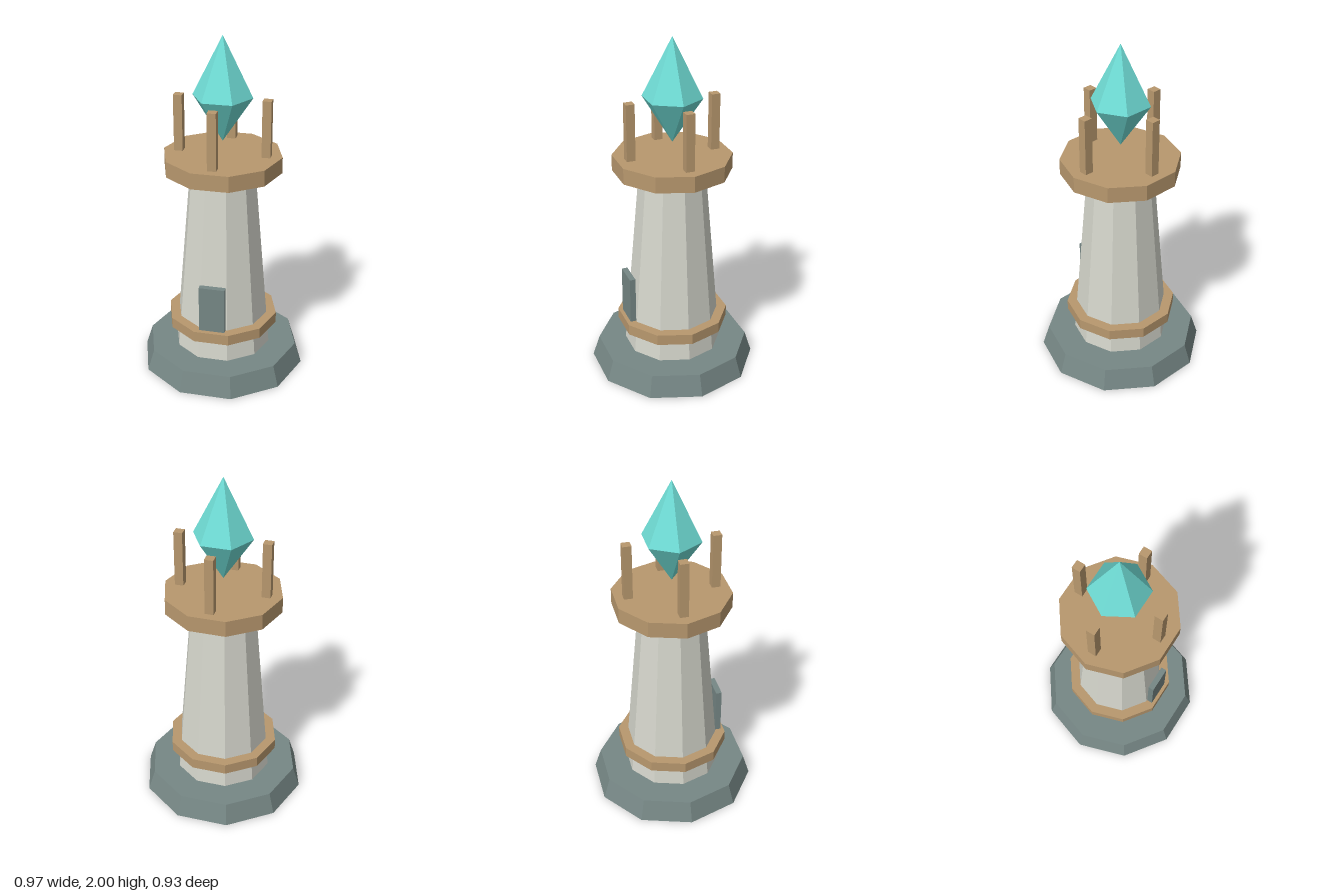
import * as THREE from 'three';

export function createModel() {
  const group = new THREE.Group();
  group.name = 'crystalTower';

  const material = (name, color) => {
    const m = new THREE.MeshStandardMaterial({ color, flatShading: true });
    m.name = name;
    return m;
  };
  const stone = material('pale stone', 0xd6d7cd);
  const slate = material('slate', 0x768785);
  const wood = material('wood', 0xb8986e);
  const crystalTeal = material('crystal teal', 0x6fdcd5);

  const add = (name, geometry, mat, x = 0, y = 0, z = 0) => {
    const mesh = new THREE.Mesh(geometry, mat);
    mesh.name = name;
    mesh.position.set(x, y, z);
    group.add(mesh);
    return mesh;
  };

  // Faceted drum between two heights, with corners on the x axis
  const drum = (name, rBottom, rTop, y0, y1, mat, sides = 10, open = false) => {
    const g = new THREE.CylinderGeometry(rTop, rBottom, y1 - y0, sides, 1, open);
    g.rotateY(Math.PI / 2);
    return add(name, g, mat, 0, (y0 + y1) / 2, 0);
  };

  drum('base', 0.487, 0.447, 0, 0.125, slate);
  drum('towerShaft', 0.285, 0.189, 0.125, 1.235, stone);
  drum('lowerBand', 0.326, 0.326, 0.26, 0.324, wood);
  drum('platform', 0.34, 0.34, 1.235, 1.328, wood);

  // Door slab on the front
  add('door', new THREE.BoxGeometry(0.15, 0.28, 0.034), slate, 0, 0.468, 0.273);

  // Four posts around the crystal
  const postGeometry = new THREE.BoxGeometry(0.05, 0.327, 0.05);
  for (const [x, z] of [[1, 0], [-1, 0], [0, 1], [0, -1]]) {
    add('post', postGeometry, wood, x * 0.25, 1.4915, z * 0.25);
  }

  // Six-sided crystal made of two points joined at the waist
  drum('crystalTop', 0.17, 0, 1.66, 2, crystalTeal, 6, true);
  drum('crystalBottom', 0, 0.17, 1.4, 1.66, crystalTeal, 6, true);

  return group;
}
